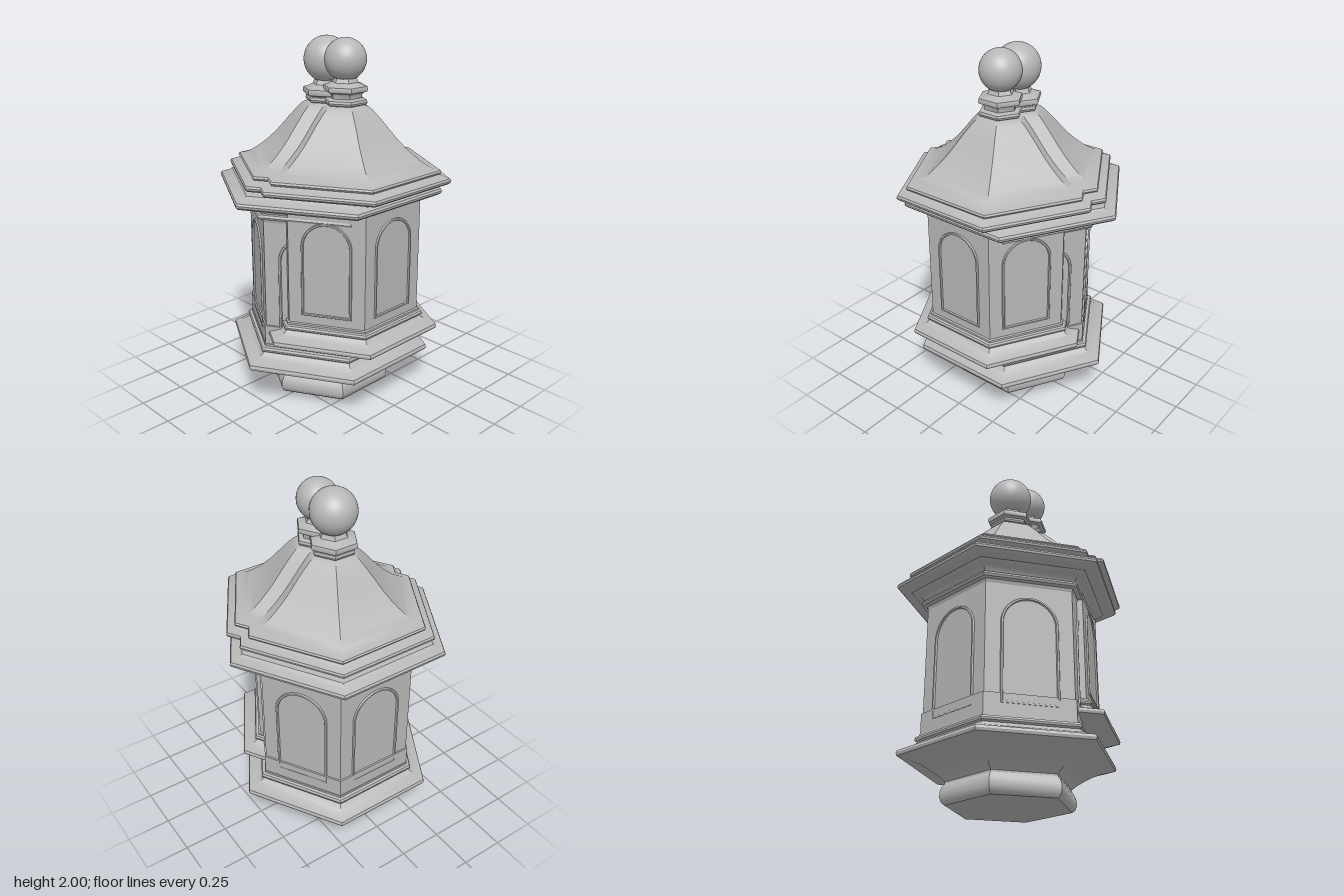
import * as THREE from 'three';
import { toCreasedNormals } from 'three/addons/utils/BufferGeometryUtils.js';

const stone = new THREE.MeshStandardMaterial({ color: 0xb8b8b8 });
stone.name = 'grey stone';

const WALL = 0.465; // corner radius of the hexagonal wall
const APOTHEM = WALL * Math.cos(Math.PI / 6);

function mesh(name, geometry, parent) {
  const m = new THREE.Mesh(geometry, stone);
  m.name = name;
  parent.add(m);
  return m;
}

function group(name, parent) {
  const g = new THREE.Group();
  g.name = name;
  parent.add(g);
  return g;
}

// Six-sided turned part: corners on +x and -x, creased at the corners
function hexPart(name, profile, parent) {
  const points = profile.map(([r, y]) => new THREE.Vector2(r, y));
  const lathe = new THREE.LatheGeometry(points, 6, Math.PI / 2);
  return mesh(name, toCreasedNormals(lathe, 0.58), parent);
}

// Round-headed outline for the window frames
function archOutline(path, halfWidth, sill, spring) {
  path.moveTo(-halfWidth, sill);
  path.lineTo(halfWidth, sill);
  path.lineTo(halfWidth, spring);
  path.absarc(0, spring, halfWidth, 0, Math.PI, false);
  path.lineTo(-halfWidth, sill);
  return path;
}

// One bevelled arch frame on each of the six walls
function addWindows(parent) {
  const frame = archOutline(new THREE.Shape(), 0.15, 0.418, 0.85);
  frame.holes.push(archOutline(new THREE.Path(), 0.141, 0.427, 0.85));
  const frameGeo = new THREE.ExtrudeGeometry(frame, {
    depth: 0.004, curveSegments: 20,
    bevelThickness: 0.005, bevelSize: 0.003, bevelSegments: 1,
  });
  for (let i = 0; i < 6; i++) {
    const side = group('window', parent);
    side.rotation.y = (i * Math.PI) / 3;
    mesh('windowFrame', frameGeo, side).position.z = APOTHEM;
  }
}

// Moulding at the top of the wall and the wide eave above it
function addEaves(parent) {
  hexPart('eaves', [
    [WALL, 1.07], [0.472, 1.088], [0.498, 1.092], [0.505, 1.104], [0.498, 1.117],
    [0.486, 1.121], [0.492, 1.133], [0.51, 1.146], [0.545, 1.153], [0.56, 1.165],
    [0.625, 1.173], [0.64, 1.184], [0.643, 1.196], [0.636, 1.208], [0.6, 1.218],
    [0.58, 1.226], [0.57, 1.234], [0.5, 1.238],
  ], parent);
}

// Roof slab, bell curve and the collar at the top
function addRoof(parent) {
  hexPart('roof', [
    [0.57, 1.226], [0.578, 1.234], [0.585, 1.243], [0.578, 1.254], [0.545, 1.26],
    [0.53, 1.264], [0.49, 1.283], [0.45, 1.308], [0.41, 1.338], [0.37, 1.372],
    [0.325, 1.415], [0.28, 1.465], [0.235, 1.517], [0.195, 1.56], [0.165, 1.59],
    [0.145, 1.605], [0.118, 1.615], [0.13, 1.62], [0.135, 1.632], [0.13, 1.646],
    [0.11, 1.655], [0, 1.66],
  ], parent);
}

// Lantern from foot to eaves, with its finial
function lantern(name, parent) {
  const g = group(name, parent);

  // Foot, flared bowl and stepped ledge
  hexPart('base', [
    [0, 0], [0.335, 0], [0.352, 0.012], [0.362, 0.035], [0.362, 0.065], [0.352, 0.09],
    [0.338, 0.108], [0.338, 0.118], [0.35, 0.13], [0.375, 0.148], [0.41, 0.17],
    [0.455, 0.194], [0.51, 0.215], [0.57, 0.23], [0.588, 0.236], [0.593, 0.25], [0.588, 0.264],
    [0.55, 0.274], [0.515, 0.29], [0.495, 0.305], [0.488, 0.312], [0.5, 0.32],
    [0.502, 0.33], [0.495, 0.342], [0.478, 0.346], [0.478, 0.358], [WALL, 0.362],
  ], g);

  hexPart('wall', [[WALL, 0.35], [WALL, 1.09]], g);
  addWindows(g);
  addEaves(g);

  hexPart('finialNeck', [
    [0.1, 1.62], [0.1, 1.672], [0.11, 1.687], [0.132, 1.694], [0.137, 1.708],
    [0.132, 1.724], [0.105, 1.732], [0.08, 1.745], [0.07, 1.765], [0.075, 1.79], [0, 1.8],
  ], g);
  mesh('finialBall', new THREE.SphereGeometry(0.124, 40, 28), g).position.y = 1.876;
  return g;
}

export function createModel() {
  const model = new THREE.Group();
  model.name = 'doubleLantern';

  // Large lantern at the back, with a plain band over its window sills
  const back = lantern('backLantern', model);
  back.position.z = -0.04;
  hexPart('sillBand', [[WALL, 0.35], [WALL + 0.009, 0.352], [WALL + 0.009, 0.468], [WALL, 0.47]], back);

  // Its upper roof is the same size and height as the front one
  const cap = group('backRoof', back);
  cap.scale.setScalar(0.9);
  cap.position.y = 0.2;
  addEaves(cap);
  addRoof(cap);

  // Smaller lantern in front, sunk into the large one with level tops
  const front = lantern('frontLantern', model);
  front.scale.setScalar(0.9);
  front.position.set(0, 0.2, 0.1);
  addRoof(front);
  return model;
}
